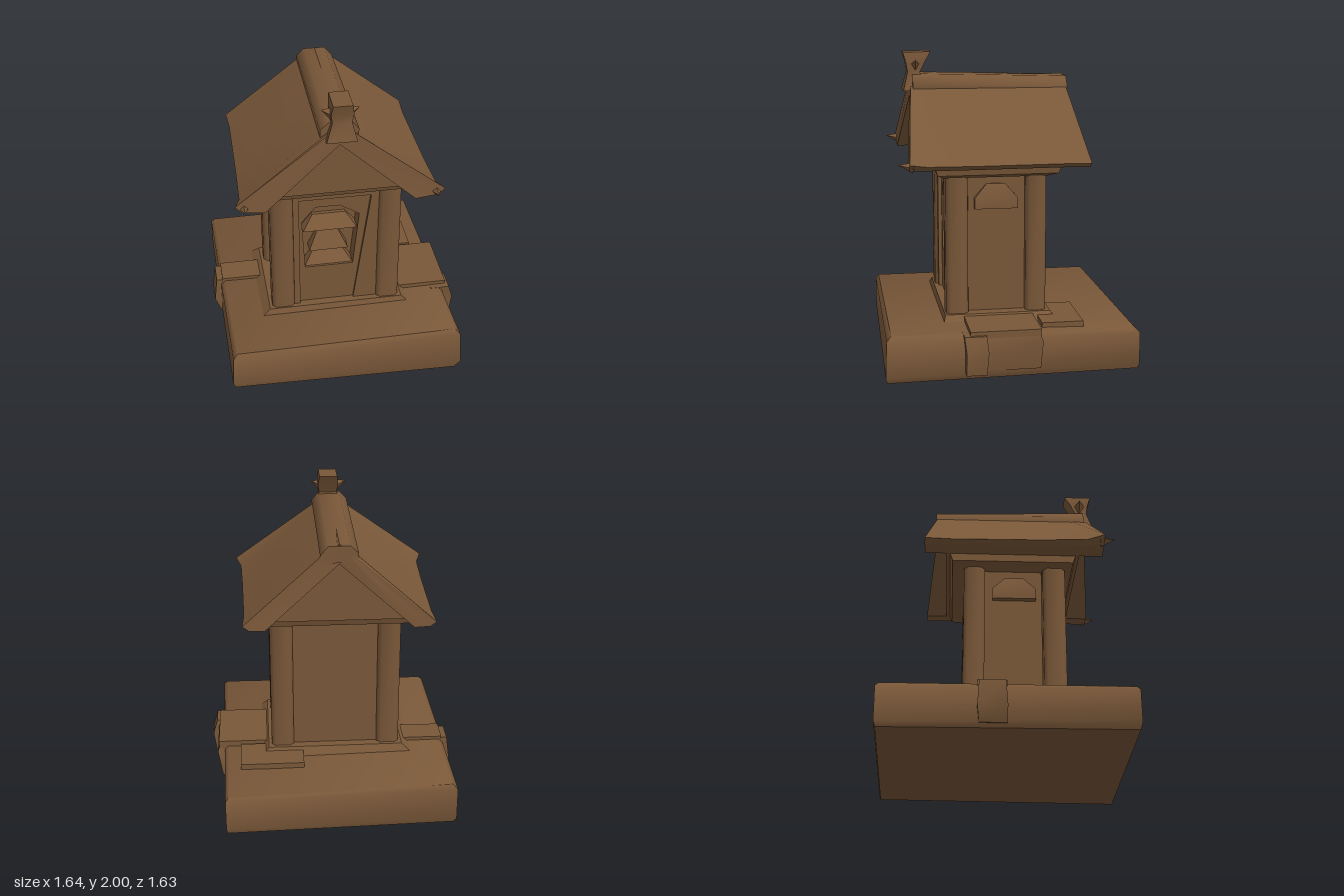
import * as THREE from 'three';
import { toCreasedNormals } from 'three/addons/utils/BufferGeometryUtils.js';

const wood = new THREE.MeshStandardMaterial({ color: 0x7a5839 });
wood.name = 'weathered brown';

// Solid skinned over convex rings of points, capped at both ends
function loft(rings, crease = 0.6) {
  const n = rings[0].length, pos = [];
  const tri = (a, b, c) => pos.push(...a, ...b, ...c);
  for (let r = 0; r < rings.length - 1; r++) {
    for (let i = 0; i < n; i++) {
      const j = (i + 1) % n, a = rings[r], b = rings[r + 1];
      tri(a[i], a[j], b[j]);
      tri(a[i], b[j], b[i]);
    }
  }
  const first = rings[0], last = rings[rings.length - 1];
  for (let i = 1; i < n - 1; i++) {
    tri(first[0], first[i + 1], first[i]);
    tri(last[0], last[i], last[i + 1]);
  }
  const g = new THREE.BufferGeometry();
  g.setAttribute('position', new THREE.Float32BufferAttribute(pos, 3));
  return toCreasedNormals(g, crease);
}

// Rectangular ring at height y
const rect = (x0, x1, z0, z1, y) => [[x0, y, z1], [x1, y, z1], [x1, y, z0], [x0, y, z0]];

export function createModel() {
  const model = new THREE.Group();
  model.name = 'woodenShrine';
  const add = (name, geometry) => {
    const mesh = new THREE.Mesh(geometry, wood);
    mesh.name = name;
    model.add(mesh);
    return mesh;
  };
  const block = (name, x0, x1, y0, y1, z0, z1) =>
    add(name, loft([rect(x0, x1, z0, z1, y0), rect(x0, x1, z0, z1, y1)]));

  // Base slab, uneven and slightly lower at the back right
  add('base', loft([
    [[-0.75, 0.02, 0.78], [0.72, 0.0, 0.8], [0.71, 0.01, -0.81], [-0.76, 0.01, -0.77]],
    [[-0.77, 0.06, 0.79], [0.76, 0.05, 0.81], [0.72, 0.04, -0.82], [-0.78, 0.04, -0.78]],
    [[-0.76, 0.27, 0.79], [0.75, 0.28, 0.8], [0.72, 0.25, -0.82], [-0.78, 0.26, -0.78]],
    [[-0.73, 0.3, 0.77], [0.72, 0.31, 0.77], [0.7, 0.27, -0.8], [-0.75, 0.29, -0.76]],
  ], 0.9));

  // Paths that run over the sides of the base
  block('rightPath', 0.4, 0.77, 0.24, 0.325, -0.17, 0.28);
  add('rightPathDrape', loft([
    rect(0.66, 0.8, 0.18, 0.31, 0.05), rect(0.66, 0.82, 0.17, 0.31, 0.2), rect(0.66, 0.79, 0.18, 0.32, 0.3),
  ]));
  add('rightPathEdge', loft([
    rect(0.66, 0.75, -0.17, 0.2, 0.06), rect(0.66, 0.78, -0.18, 0.2, 0.25), rect(0.66, 0.76, -0.15, 0.2, 0.31),
  ]));
  block('leftPath', -0.76, -0.42, 0.24, 0.315, -0.18, 0);
  add('leftPathDrape', loft([
    rect(-0.78, -0.66, -0.17, 0, 0.04), rect(-0.82, -0.66, -0.18, 0, 0.14), rect(-0.8, -0.66, -0.17, -0.01, 0.3),
  ]));
  block('backStep', 0.2, 0.62, 0.25, 0.315, -0.47, -0.2);

  // Plinth and house core
  add('plinth', loft([
    rect(-0.55, 0.5, -0.33, 0.42, 0.27), rect(-0.47, 0.43, -0.29, 0.4, 0.335),
  ]));
  block('core', -0.39, 0.35, 0.3, 1.27, -0.23, 0.24);

  // Corner posts with chamfered edges
  const post = (x0, x1, z0, z1) => {
    const c = 0.025;
    const ring = (y) => [
      [x0 + c, y, z1], [x1 - c, y, z1], [x1, y, z1 - c], [x1, y, z0 + c],
      [x1 - c, y, z0], [x0 + c, y, z0], [x0, y, z0 + c], [x0, y, z1 - c],
    ];
    add('cornerPost', loft([ring(0.3), ring(1.27)], 0.9));
  };
  for (const [z0, z1] of [[0.245, 0.39], [-0.265, -0.13]]) {
    post(-0.45, -0.3, z0, z1);
    post(0.26, 0.41, z0, z1);
  }

  // Front panel with an arched niche
  const panel = new THREE.Shape([
    [-0.31, 0.3], [0.27, 0.3], [0.27, 1.26], [-0.31, 1.26],
  ].map((p) => new THREE.Vector2(...p)));
  panel.holes.push(new THREE.Path([
    [-0.22, 0.62], [-0.24, 0.99], [-0.15, 1.1], [0.01, 1.1], [0.14, 1.02], [0.1, 0.62],
  ].map((p) => new THREE.Vector2(...p))));
  const niche = new THREE.ExtrudeGeometry(panel, { depth: 0.11, bevelEnabled: false });
  add('frontPanel', niche.translate(0, 0, 0.235));

  // Sloping shelves inside the niche
  for (const [y0, y1, x0, x1] of [[0.62, 0.72, -0.22, 0.1], [0.74, 0.88, -0.19, 0.07], [0.9, 0.99, -0.23, 0.13]]) {
    add('nicheStep', loft([
      rect(x0, x1, 0.23, 0.33, y0), rect(x0 + 0.07, x1 - 0.07, 0.23, 0.265, y1),
    ]));
  }

  // Door frame with a leaning right jamb
  block('leftJamb', -0.3, -0.26, 0.3, 1.24, 0.33, 0.37);
  block('lintel', -0.3, 0.26, 1.18, 1.26, 0.33, 0.375);
  add('rightJamb', loft([
    rect(0.1, 0.27, 0.33, 0.36, 0.31), rect(0.22, 0.27, 0.33, 0.37, 1.22),
  ]));

  // Side hoods below the eaves
  for (const s of [1, -1]) {
    const cx = -0.02, inner = cx + s * 0.35, low = cx + s * 0.41, high = cx + s * 0.38;
    const hoodRing = (x, z0, z1, y) => rect(Math.min(inner, x), Math.max(inner, x), z0, z1, y);
    add(s > 0 ? 'leftHood' : 'rightHood', loft([
      hoodRing(low, -0.08, 0.2, 1.02), hoodRing(low, -0.08, 0.2, 1.09), hoodRing(high, 0, 0.12, 1.18),
    ]));
  }

  // Beam around the top of the walls
  add('eaveBeam', loft([
    rect(-0.44, 0.4, -0.27, 0.4, 1.23), rect(-0.5, 0.43, -0.34, 0.44, 1.25), rect(-0.5, 0.44, -0.36, 0.46, 1.31),
  ]));

  // Gable wall filling the roof
  const gable = (z) => [[-0.5, 1.3, z], [0.44, 1.3, z], [-0.03, 1.73, z]];
  add('gable', loft([gable(-0.38), gable(0.48)]));

  // Roof slopes, mirrored about the ridge, with upturned front eaves
  const ridgeX = -0.03;
  const slope = (zEave, zTop, out, lift) => [
    [0, 1.71, zTop], [0.47, 1.3, zEave], [out - 0.04, 1.305 + lift * 0.5, zEave],
    [out, 1.335 + lift, zEave], [0.1, 1.775, zTop], [0, 1.84, zTop],
  ];
  const sections = [
    slope(-0.52, -0.45, 0.61, 0), slope(-0.35, -0.31, 0.6, 0), slope(0.2, 0.18, 0.61, 0),
    slope(0.52, 0.48, 0.62, 0.005), slope(0.63, 0.575, 0.655, 0.025),
  ];
  for (const s of [1, -1]) {
    const rings = sections.map((ring) => {
      const r = ring.map(([x, y, z]) => [ridgeX + s * x, y, z]);
      return s > 0 ? r : r.reverse();
    });
    add(s > 0 ? 'leftRoofSlope' : 'rightRoofSlope', loft(rings));
    // Pointed eave tip at the front corner
    const tip = new THREE.ConeGeometry(0.035, 0.1, 4);
    tip.rotateX(Math.PI / 2 - 0.2).translate(ridgeX + s * 0.6, 1.345, 0.65);
    add('eaveTip', toCreasedNormals(tip, 0.6));
  }

  // Rounded ridge cap
  const cap = (z, y) => [
    [-0.15, y - 0.11, z], [0.08, y - 0.11, z], [0.09, y - 0.06, z], [0.04, y, z], [-0.1, y, z], [-0.15, y - 0.05, z],
  ];
  add('ridgeCap', loft([cap(-0.46, 1.83), cap(0.05, 1.845), cap(0.56, 1.86)], 1.1));

  // Flared finial with side arms
  add('finial', loft([
    rect(-0.12, 0.07, 0.47, 0.62, 1.75), rect(-0.08, 0.04, 0.51, 0.59, 1.87),
    rect(-0.09, 0.05, 0.48, 0.6, 1.93), rect(-0.08, 0.04, 0.44, 0.62, 2),
  ]));
  for (const s of [1, -1]) {
    const arm = new THREE.ConeGeometry(0.05, 0.09, 4);
    arm.rotateZ(-s * 1.2).translate(-0.025 + s * 0.075, 1.925, 0.54);
    add('finialArm', toCreasedNormals(arm, 0.6));
  }
  return model;
}
